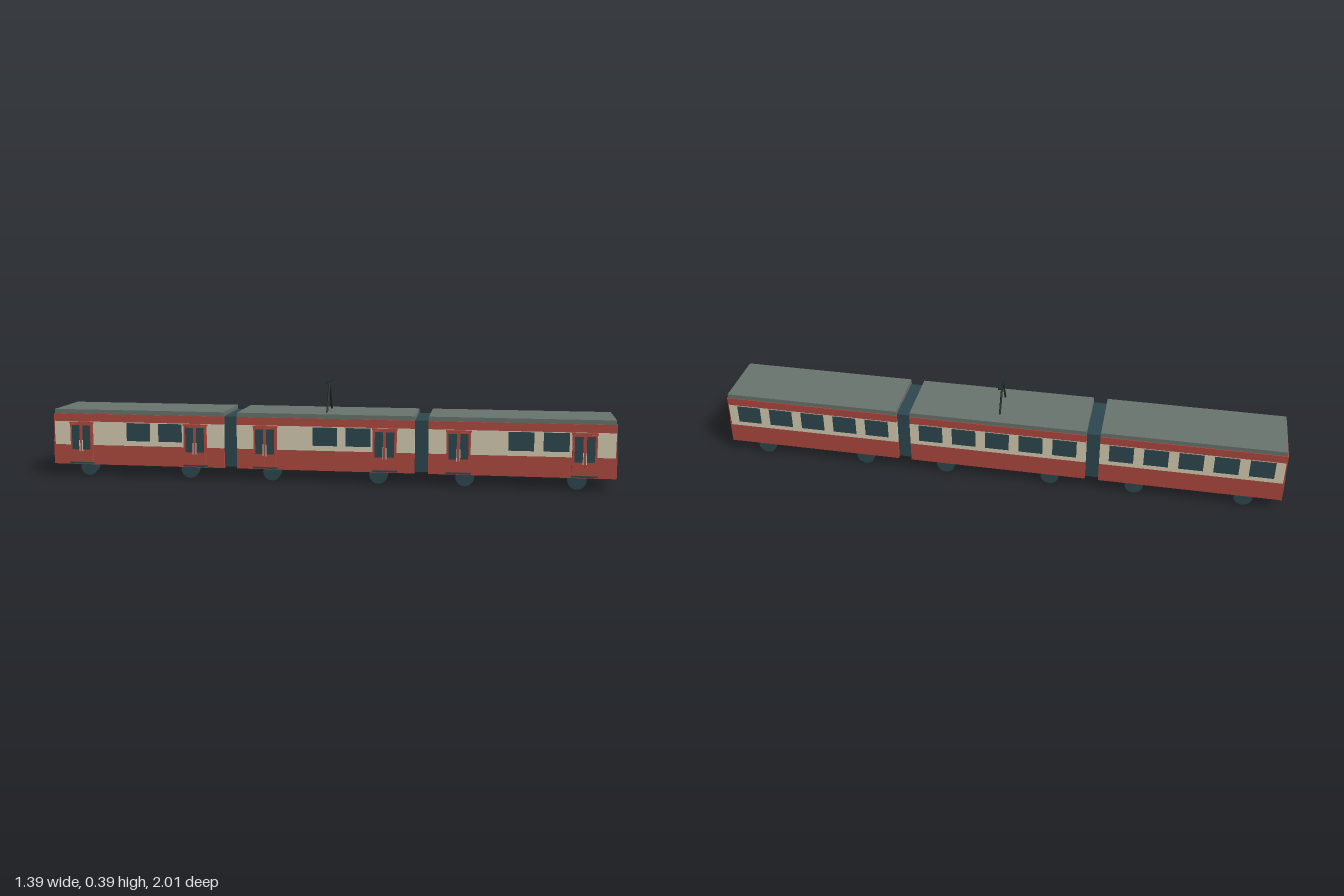
import * as THREE from 'three';

const paint = (name, color) => {
  const m = new THREE.MeshStandardMaterial({ color });
  m.name = name;
  return m;
};

export function createModel() {
  const red = paint('red paint', 0xb04a40);
  const cream = paint('cream paint', 0xd8cfb4);
  const grey = paint('roof grey', 0x69756e);
  const dark = paint('dark glass and rubber', 0x2d4850);
  const black = paint('pantograph metal', 0x1f2d2b);
  const tail = paint('tail light red', 0xc0342c);

  const HALF_W = 0.125, CAR = 0.70, PITCH = 0.7525;

  // Box given by its size in x and z, its bottom and top, and its centre
  const box = (parent, name, mat, w, y0, y1, d, x = 0, z = 0) => {
    const m = new THREE.Mesh(new THREE.BoxGeometry(w, y1 - y0, d), mat);
    m.position.set(x, (y0 + y1) / 2, z);
    m.name = name;
    parent.add(m);
    return m;
  };

  const wheelGeo = new THREE.CylinderGeometry(0.036, 0.036, 0.02, 20).rotateZ(Math.PI / 2);

  // Double door on the right-hand side, standing proud of the wall
  const door = (parent, z) => {
    const g = new THREE.Group();
    g.name = 'door';
    g.position.set(-HALF_W, 0, z);
    box(g, 'doorFrame', red, 0.02, 0.056, 0.214, 0.092);
    box(g, 'doorRail', red, 0.026, 0.212, 0.218, 0.098);
    box(g, 'doorStep', dark, 0.03, 0.05, 0.056, 0.096);
    for (const s of [-1, 1]) {
      box(g, 'doorLeaf', red, 0.004, 0.06, 0.21, 0.042, -0.011, s * 0.022);
      box(g, 'doorPane', dark, 0.004, 0.107, 0.205, 0.031, -0.0125, s * 0.022);
      box(g, 'doorHandle', cream, 0.004, 0.1, 0.145, 0.003, -0.016, s * 0.006);
    }
    parent.add(g);
  };

  // Cab end, built facing +z and turned around for the rear
  const cabEnd = (lamp) => {
    const g = new THREE.Group();
    g.name = 'cabEnd';
    box(g, 'endPanel', red, 0.25, 0.045, 0.25, 0.004, 0, 0.001);
    box(g, 'endApron', red, 0.252, 0.045, 0.147, 0.006, 0, 0.002);
    box(g, 'windscreen', dark, 0.216, 0.149, 0.221, 0.005, 0, 0.003);
    for (const s of [-1, 1]) box(g, 'lamp', lamp, 0.028, 0.091, 0.106, 0.006, s * 0.078, 0.005);
    return g;
  };

  const car = (z) => {
    const g = new THREE.Group();
    g.name = 'car';
    g.position.z = z;
    const w = HALF_W * 2;
    box(g, 'lowerBody', red, w, 0.045, 0.124, CAR);
    box(g, 'windowBand', cream, w, 0.124, 0.219, CAR);
    box(g, 'upperBody', red, w, 0.219, 0.25, CAR);
    box(g, 'roof', grey, w - 0.006, 0.25, 0.267, CAR - 0.002);
    // Five windows on the left, two between the doors on the right
    for (let i = -2; i <= 2; i++) box(g, 'leftWindow', dark, 0.006, 0.144, 0.216, 0.094, HALF_W, i * 0.133);
    for (const p of [0, 0.131]) box(g, 'rightWindow', dark, 0.006, 0.144, 0.216, 0.096, -HALF_W, p);
    for (const s of [-1, 1]) {
      door(g, s * 0.235);
      for (const side of [-1, 1]) {
        const wheel = new THREE.Mesh(wheelGeo, dark);
        wheel.name = 'wheel';
        wheel.position.set(side * 0.111, 0.036, s * 0.21);
        g.add(wheel);
      }
    }
    return g;
  };

  const tram = new THREE.Group();
  tram.name = 'tram';
  for (const i of [-1, 0, 1]) tram.add(car(i * PITCH));
  for (const s of [-1, 1]) box(tram, 'gangway', dark, 0.226, 0.05, 0.25, PITCH - CAR + 0.002, 0, s * PITCH / 2);

  const end = PITCH + CAR / 2;
  const front = cabEnd(cream);
  front.position.z = end;
  const rear = cabEnd(tail);
  rear.position.z = -end;
  rear.rotation.y = Math.PI;
  tram.add(front, rear);

  // Pantograph: two sloping arms and a contact bar
  const pantograph = new THREE.Group();
  pantograph.name = 'pantograph';
  for (const s of [-1, 1]) {
    const base = new THREE.Vector3(s * 0.063, 0.265, 0), top = new THREE.Vector3(0, 0.384, 0);
    const arm = new THREE.Mesh(new THREE.CylinderGeometry(0.004, 0.004, base.distanceTo(top), 8), black);
    arm.name = 'pantographArm';
    arm.position.copy(base).lerp(top, 0.5);
    arm.rotation.z = s * Math.atan2(0.063, 0.119);
    pantograph.add(arm);
  }
  box(pantograph, 'contactBar', black, 0.136, 0.381, 0.389, 0.01);
  tram.add(pantograph);

  // The whole train stands at a slant
  tram.rotation.y = THREE.MathUtils.degToRad(32.2);
  const model = new THREE.Group();
  model.name = 'articulatedTram';
  model.add(tram);
  return model;
}
